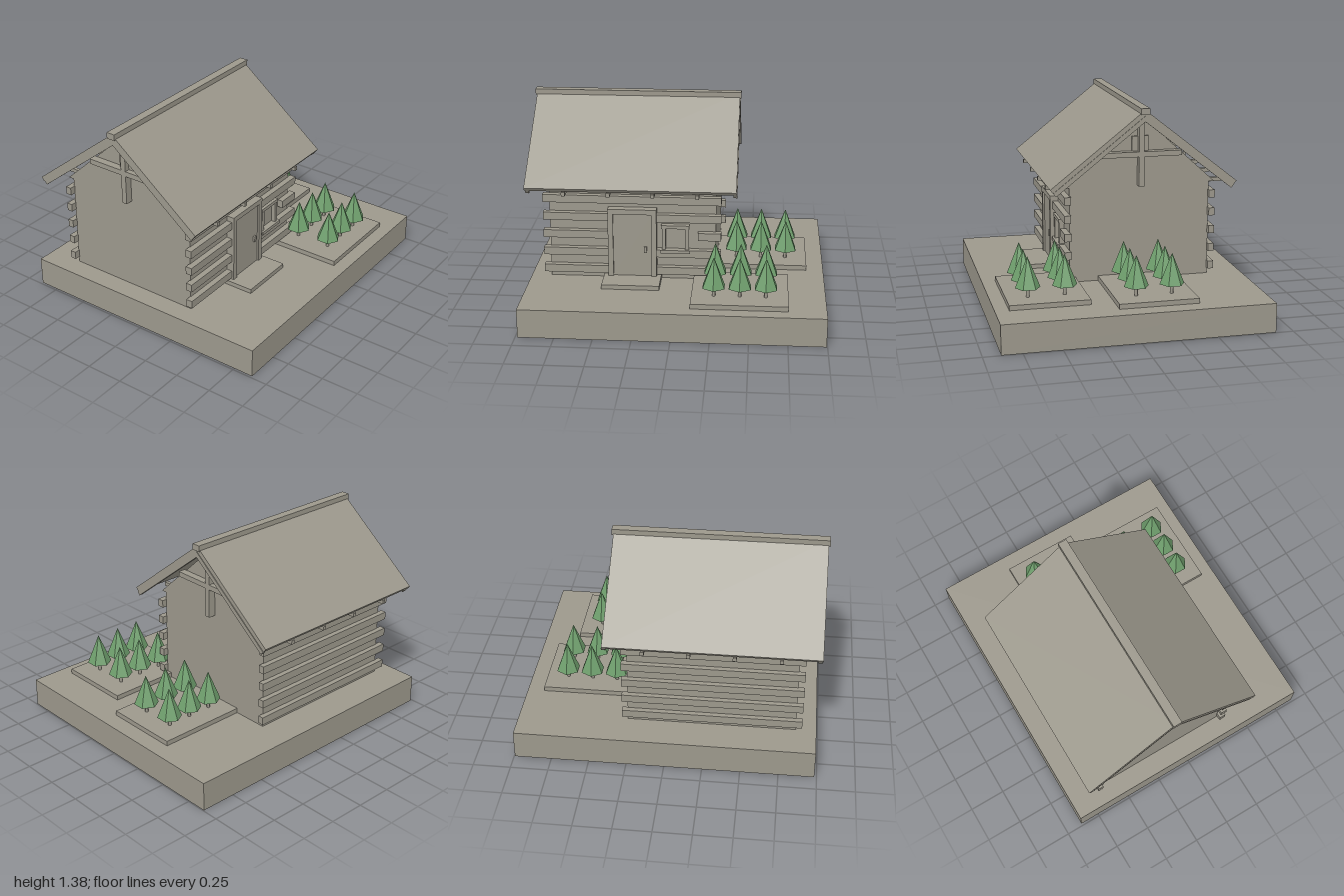
import * as THREE from 'three';

export function createModel() {
  const model = new THREE.Group();
  model.name = 'logCabin';
  const timber = new THREE.MeshStandardMaterial({ color: 0x9c988c });
  timber.name = 'weathered timber';
  const foliage = new THREE.MeshStandardMaterial({ color: 0x6f9f6d, flatShading: true });
  foliage.name = 'pine green';

  const add = (name, geometry, material = timber, parent = model) => {
    const mesh = new THREE.Mesh(geometry, material);
    mesh.name = name;
    parent.add(mesh);
    return mesh;
  };
  // Box given by its minimum and maximum along each axis
  const box = (name, x0, x1, y0, y1, z0, z1, parent = model) => {
    const g = new THREE.BoxGeometry(x1 - x0, y1 - y0, z1 - z0);
    g.translate((x0 + x1) / 2, (y0 + y1) / 2, (z0 + z1) / 2);
    return add(name, g, timber, parent);
  };
  // Prism with a [z, y] profile, running from x0 to x1
  const prism = (name, points, x0, x1, parent = model) => {
    const shape = new THREE.Shape(points.map(([z, y]) => new THREE.Vector2(-z, y)));
    const g = new THREE.ExtrudeGeometry(shape, { depth: x1 - x0, bevelEnabled: false });
    g.rotateY(Math.PI / 2).translate(x0, 0, 0);
    return add(name, g, timber, parent);
  };

  const GROUND = 0.195, EAVE = 0.84, MID = -0.17;
  const WALL_L = -0.85, WALL_R = 0.265;

  // Ground block, wall core and gable prism
  box('groundBlock', -0.985, 0.995, 0, GROUND, -0.885, 0.885);
  box('walls', WALL_L, WALL_R, GROUND, EAVE, -0.65, 0.31);
  prism('gable', [[0.35, EAVE], [-0.69, EAVE], [MID, 1.315]], WALL_L, WALL_R);

  // Log courses, one of them cut short around the window
  const logs = new THREE.Group();
  logs.name = 'logs';
  model.add(logs);
  for (let i = 0; i < 5; i++) {
    const y = 0.235 + i * 0.125, top = y + 0.053;
    box('backLog', -0.89, 0.30, y, top, -0.685, -0.645, logs);
    if (i === 2) {
      box('frontLog', -0.89, -0.14, y, top, 0.305, 0.35, logs);
      box('frontLog', 0.145, 0.30, y, top, 0.305, 0.35, logs);
    } else {
      box('frontLog', -0.89, 0.30, y, top, 0.305, 0.35, logs);
    }
  }

  // Roof slabs and end rafters, mirrored about the ridge
  const roof = new THREE.Group();
  roof.name = 'roof';
  model.add(roof);
  const slopeStart = [0, 1.367], slopeEnd = [0.632, 0.868];
  const angle = Math.atan2(slopeStart[1] - slopeEnd[1], slopeEnd[0]);
  const layer = (side, t0, t1) => {
    const at = ([d, y], t) => [d - Math.sin(angle) * t, y - Math.cos(angle) * t];
    const ridgeAt = (t) => [0, slopeStart[1] - t / Math.cos(angle)];
    return [ridgeAt(t0), at(slopeEnd, t0), at(slopeEnd, t1), ridgeAt(t1)]
      .map(([d, y]) => [MID + side * d, y]);
  };
  for (const side of [1, -1]) {
    prism('roofSlab', layer(side, 0, 0.03), -0.99, 0.40, roof);
    prism('endRafter', layer(side, 0.03, 0.06), -0.985, -0.96, roof);
    prism('endRafter', layer(side, 0.03, 0.06), 0.38, 0.405, roof);
  }
  box('ridgeBeam', -1, 0.41, 1.337, 1.378, -0.20, -0.14, roof);
  for (const x of [-0.735, -0.44, -0.148, 0.145]) {
    box('ceilingBeam', x - 0.012, x + 0.012, 0.813, 0.84, -0.79, 0.45, roof);
  }

  // Crossed timbers on both gables
  for (const [face, dir] of [[WALL_R, 1], [WALL_L, -1]]) {
    const out = (name, depth, y0, y1, z0, z1) =>
      box(name, Math.min(face, face + dir * depth), Math.max(face, face + dir * depth), y0, y1, z0, z1);
    out('gablePost', 0.05, EAVE, 1.30, MID - 0.018, MID + 0.018);
    out('gableCrossbar', 0.05, 1.04, 1.075, -0.445, 0.11);
    out('gablePanel', 0.015, 1.075, 1.175, -0.225, -0.112);
  }

  // Door with frame, handle and step
  const door = new THREE.Group();
  door.name = 'door';
  model.add(door);
  box('doorStep', -0.485, -0.10, GROUND, 0.225, 0.30, 0.525, door);
  box('doorPanel', -0.425, -0.16, 0.225, 0.67, 0.30, 0.353, door);
  box('doorJamb', -0.455, -0.42, 0.225, 0.70, 0.30, 0.366, door);
  box('doorJamb', -0.165, -0.13, 0.225, 0.70, 0.30, 0.366, door);
  box('doorLintel', -0.42, -0.165, 0.665, 0.70, 0.30, 0.366, door);
  box('doorHandle', -0.213, -0.195, 0.395, 0.437, 0.35, 0.366, door);

  // Window with frame and sill
  const win = new THREE.Group();
  win.name = 'window';
  model.add(win);
  box('windowPane', -0.07, 0.06, 0.41, 0.57, 0.305, 0.316, win);
  box('windowSill', -0.105, 0.095, 0.393, 0.415, 0.305, 0.36, win);
  box('windowHead', -0.10, 0.088, 0.565, 0.588, 0.305, 0.35, win);
  box('windowSide', -0.095, -0.07, 0.415, 0.565, 0.305, 0.345, win);
  box('windowSide', 0.06, 0.085, 0.415, 0.565, 0.305, 0.345, win);

  // Two planted plots, each with two rows of three pines
  const plots = [
    { x: 0.565, z: -0.145, dz: 0.118 },
    { x: 0.435, z: 0.532, dz: 0.12 },
  ];
  for (const { x, z, dz } of plots) {
    const plot = new THREE.Group();
    plot.name = 'plantedPlot';
    model.add(plot);
    box('plotSlab', x - 0.315, x + 0.315, GROUND, 0.228, z - 0.262, z + 0.262, plot);
    for (const i of [-1, 0, 1]) {
      for (const j of [-1, 1]) {
        const trunk = add('treeTrunk', new THREE.CylinderGeometry(0.011, 0.011, 0.08, 8), timber, plot);
        trunk.position.set(x + i * 0.169, 0.262, z + j * dz);
        const crown = add('treeCrown', new THREE.ConeGeometry(0.082, 0.205, 6), foliage, plot);
        crown.position.set(x + i * 0.169, 0.395, z + j * dz);
      }
    }
  }
  return model;
}
